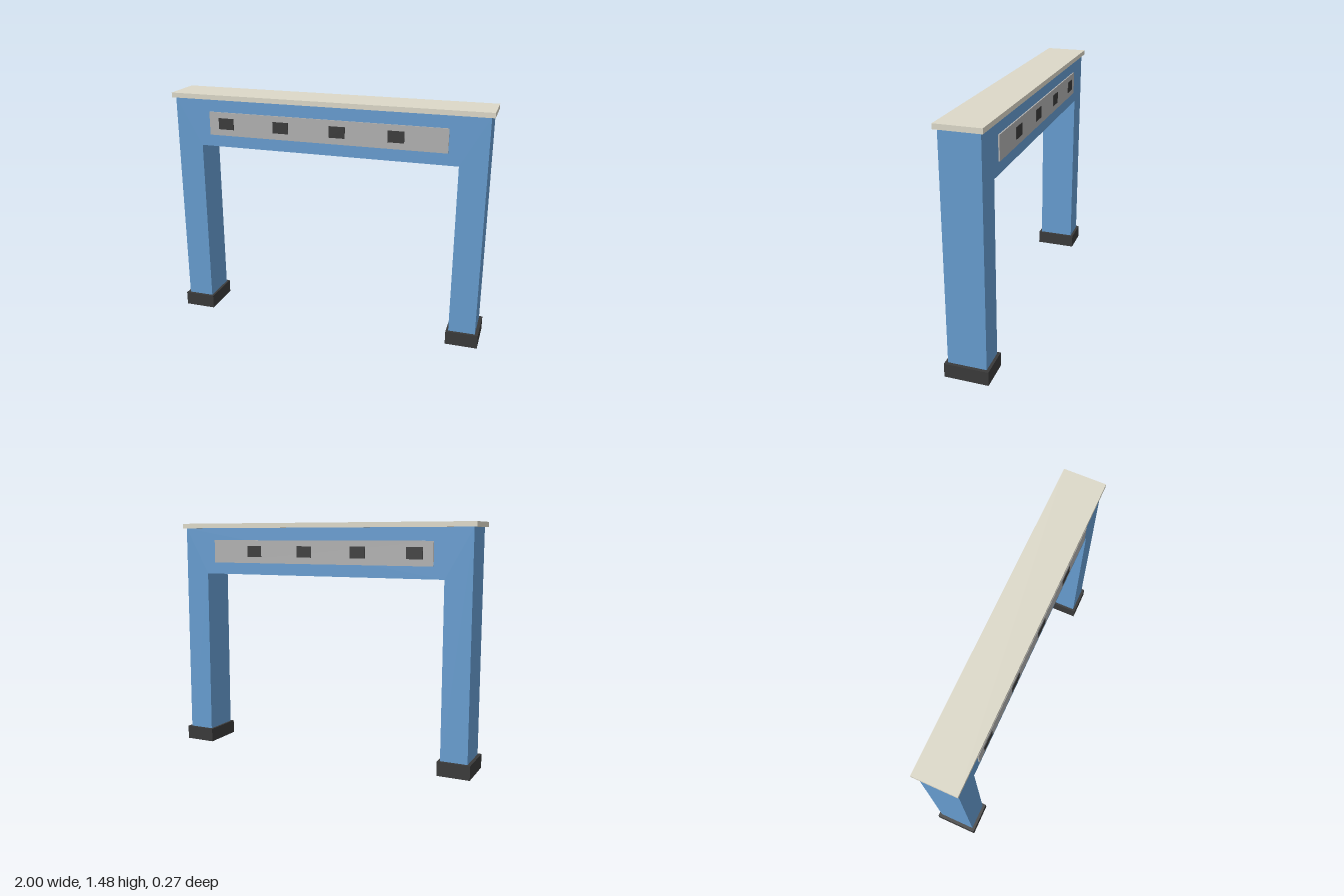
import * as THREE from 'three';

const material = (color) => new THREE.MeshStandardMaterial({ color });

export function createModel() {
  const gate = new THREE.Group();
  gate.name = 'gateway';

  const blue = material(0x669ccf);
  const dark = material(0x3a3a3a);
  const cream = material(0xdcd8c8);
  const grey = material(0xb0b0b0);

  function box(name, mat, [w, h, d], [x, y, z]) {
    const mesh = new THREE.Mesh(new THREE.BoxGeometry(w, h, d), mat);
    mesh.name = name;
    mesh.position.set(x, y, z);
    gate.add(mesh);
  }

  // Two legs and the crossbeam as one portal outline
  const outer = 0.98, inner = 0.815, foot = 0.03, beamBottom = 1.155, top = 1.453, depth = 0.232;
  const outline = new THREE.Shape([
    [-outer, foot], [-inner, foot], [-inner, beamBottom], [inner, beamBottom],
    [inner, foot], [outer, foot], [outer, top], [-outer, top],
  ].map(([x, y]) => new THREE.Vector2(x, y)));
  const frameGeometry = new THREE.ExtrudeGeometry(outline, { depth, bevelEnabled: false });
  frameGeometry.translate(0, 0, -depth / 2);
  const frame = new THREE.Mesh(frameGeometry, blue);
  frame.name = 'portalFrame';
  gate.add(frame);

  // Thin overhanging cap
  box('roofCap', cream, [2, 0.03, 0.266], [0, 1.468, 0]);

  // Plinths under the legs
  for (const side of [-1, 1]) {
    box(side > 0 ? 'leftPlinth' : 'rightPlinth', dark, [0.2, 0.087, 0.266], [side * 0.9, 0.0435, 0]);
  }

  // Sign panel with four dark squares on each face of the beam
  for (const face of [-1, 1]) {
    const label = face > 0 ? 'front' : 'back';
    box(`${label}Panel`, grey, [1.5, 0.146, 0.012], [0, 1.302, face * 0.118]);
    for (let i = 0; i < 4; i++) {
      box(`${label}Window${i + 1}`, dark, [0.1, 0.07, 0.012], [-0.637 + i * 0.36, 1.304, face * 0.1215]);
    }
  }

  return gate;
}
